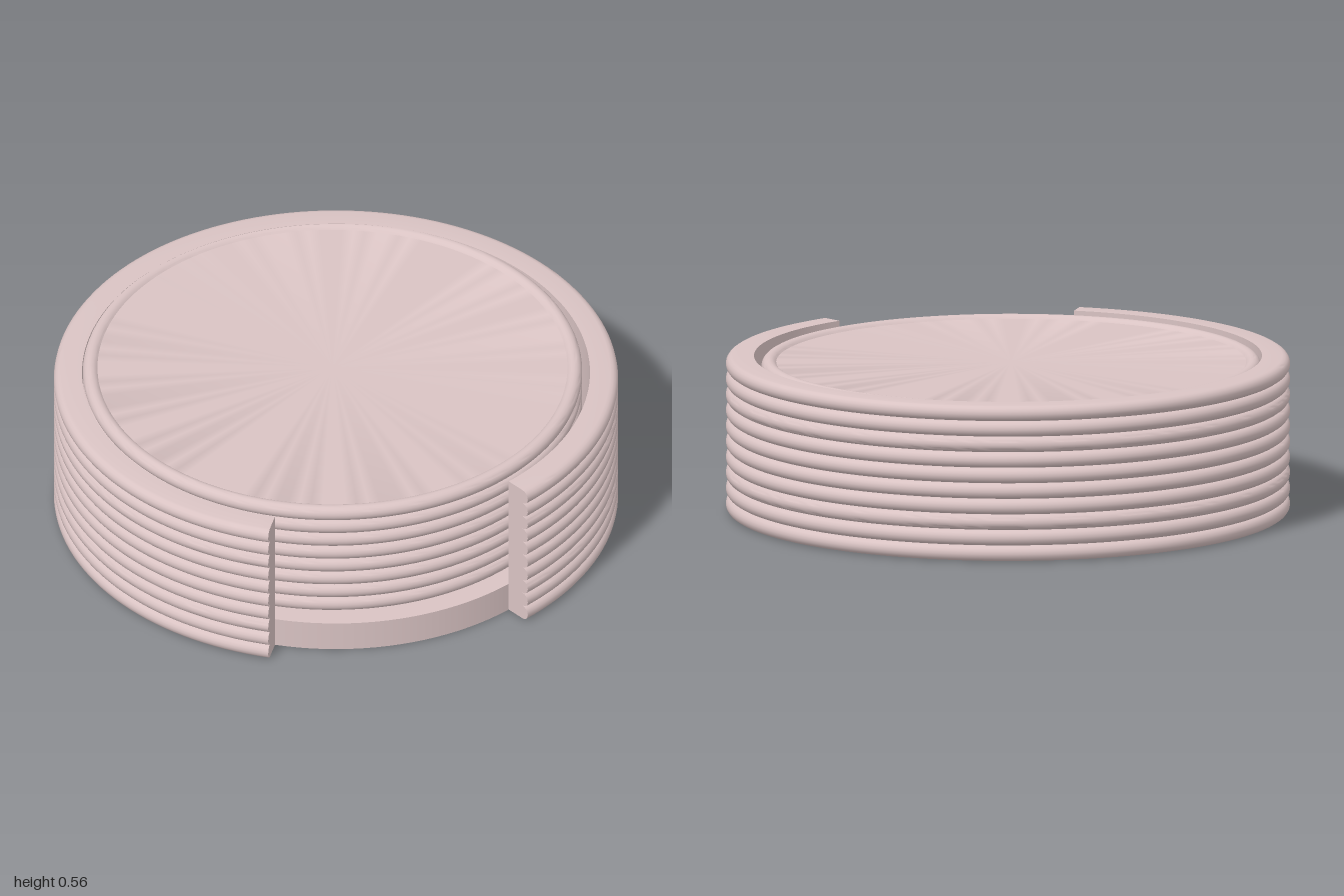
import * as THREE from 'three';
import { toCreasedNormals } from 'three/addons/utils/BufferGeometryUtils.js';

const PITCH = 0.056, RIDGES = 10, HEIGHT = PITCH * RIDGES;
const WALL_INNER = 0.9, HOLDER_Z = 0.05;
const GAP = 0.495; // half angle of the front opening
const BEAD = PITCH / 2;

// Points of a round bead in (radius, height), from its bottom round the outside
function bead(r, y, endDeg, steps) {
  const points = [];
  for (let i = 0; i <= steps; i++) {
    const a = THREE.MathUtils.degToRad(-90 + (endDeg + 90) * i / steps);
    points.push(new THREE.Vector2(r + BEAD * Math.cos(a), y + BEAD + BEAD * Math.sin(a)));
  }
  return points;
}

function lathe(points, start = 0, length = Math.PI * 2) {
  return toCreasedNormals(new THREE.LatheGeometry(points, 128, start, length), 0.6);
}

export function createModel() {
  const model = new THREE.Group();
  const material = new THREE.MeshStandardMaterial({ color: 0xd9c3c3 });
  const capMaterial = new THREE.MeshStandardMaterial({ color: 0xd9c3c3, side: THREE.DoubleSide });

  const add = (parent, name, geometry, mat = material) => {
    const mesh = new THREE.Mesh(geometry, mat);
    mesh.name = name;
    parent.add(mesh);
    return mesh;
  };

  // Holder: ribbed wall open at the front, standing round a solid base
  const holder = new THREE.Group();
  holder.name = 'holder';
  holder.position.z = HOLDER_Z;
  model.add(holder);

  const profile = [new THREE.Vector2(WALL_INNER, 0)];
  for (let i = 0; i < RIDGES; i++) {
    profile.push(...bead(1 - BEAD, i * PITCH, 90, 8).slice(i ? 1 : 0));
  }
  profile.push(new THREE.Vector2(WALL_INNER, HEIGHT));
  const closed = [...profile, profile[0].clone()];
  add(holder, 'ribbedWall', lathe(closed, GAP, Math.PI * 2 - 2 * GAP));

  // Flat ends of the wall on both sides of the opening
  for (const side of [1, -1]) {
    const cap = add(holder, side > 0 ? 'leftWallEnd' : 'rightWallEnd',
      new THREE.ShapeGeometry(new THREE.Shape(profile)), capMaterial);
    cap.rotation.y = side * GAP - Math.PI / 2;
  }

  const base = add(holder, 'base',
    new THREE.CylinderGeometry(WALL_INNER, WALL_INNER, 2 * PITCH, 128));
  base.position.y = PITCH;

  // Stack of coasters with rounded raised rims and a shallow recess
  const stack = new THREE.Group();
  stack.name = 'coasterStack';
  model.add(stack);
  const rim = bead(0.857, 0, 150, 12);
  const coasterGeometry = lathe([
    new THREE.Vector2(0, 0), ...rim, new THREE.Vector2(0, rim[rim.length - 1].y),
  ]);
  for (let i = 2; i < RIDGES; i++) {
    add(stack, 'coaster' + (i - 1), coasterGeometry).position.y = i * PITCH;
  }

  return model;
}
